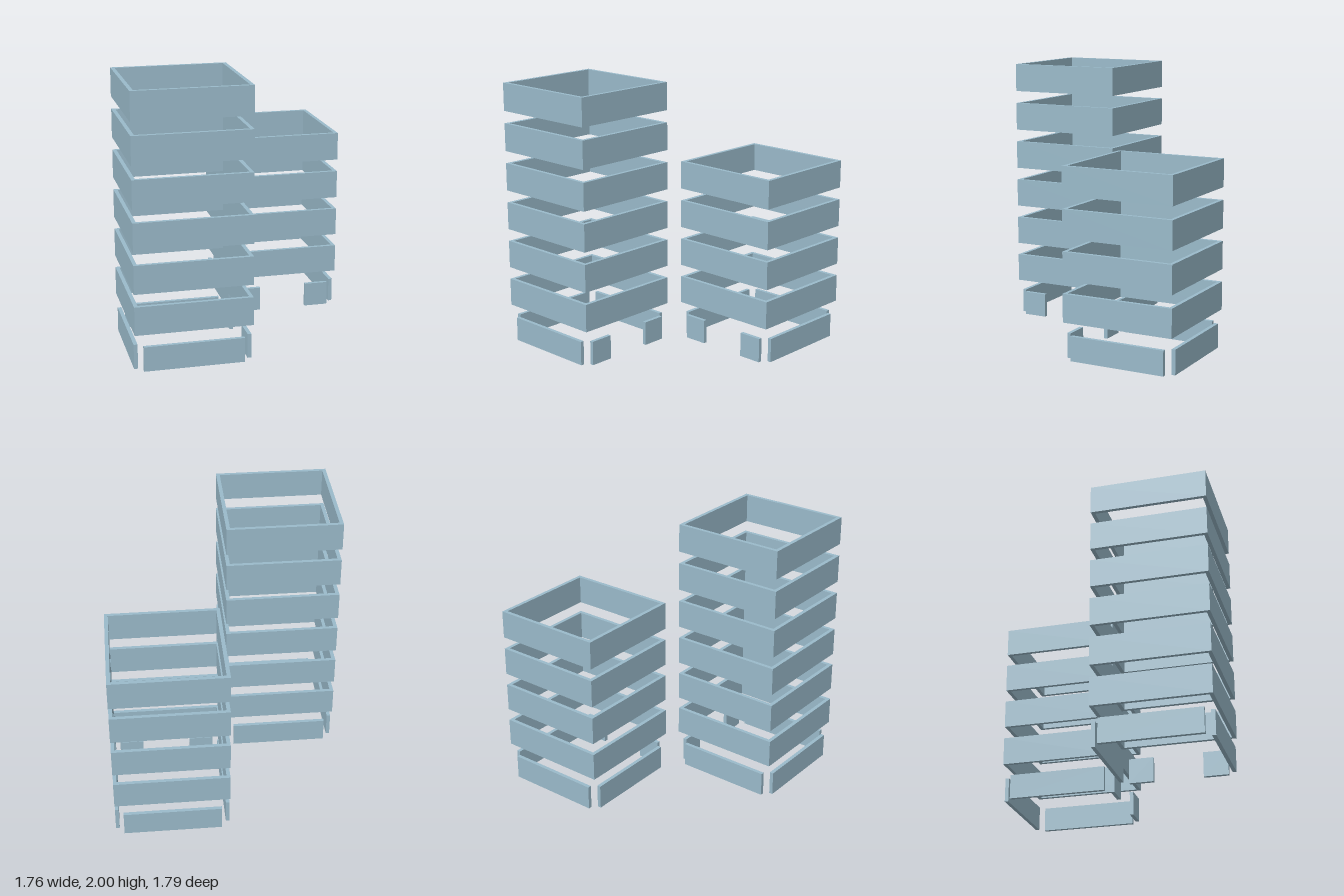
import * as THREE from 'three';

const SIZE = 0.85;      // outer width of a tower
const WALL = 0.028;     // wall thickness
const BAND_H = 0.21;    // height of a floor band
const STEP = 0.303;     // floor to floor
const FIRST = 0.275;    // underside of the lowest band
const BASE_H = 0.183;   // ground floor panel height
const PANEL = 0.726;    // full ground floor panel length
const PIER = 0.18;      // short panel beside an entrance

const blue = new THREE.MeshStandardMaterial({ color: 0x9abaca });
blue.name = 'paleBlue';

// Square ring, its underside at y = 0
function bandGeometry() {
  const h = SIZE / 2, i = h - WALL;
  const shape = new THREE.Shape([[-h, -h], [h, -h], [h, h], [-h, h]].map(p => new THREE.Vector2(...p)));
  shape.holes.push(new THREE.Path([[-i, -i], [-i, i], [i, i], [i, -i]].map(p => new THREE.Vector2(...p))));
  return new THREE.ExtrudeGeometry(shape, { depth: BAND_H, bevelEnabled: false }).rotateX(-Math.PI / 2);
}

// One ground floor side, built facing +z: a full panel, or two piers with an entrance between
function baseSide(open) {
  const side = new THREE.Group();
  side.name = open ? 'entranceSide' : 'solidSide';
  const off = (PANEL - PIER) / 2;
  const parts = open ? [[-off, PIER], [off, PIER]] : [[0, PANEL]];
  for (const [x, width] of parts) {
    const panel = new THREE.Mesh(new THREE.BoxGeometry(width, BASE_H, WALL), blue);
    panel.name = open ? 'entrancePier' : 'groundPanel';
    panel.position.set(x, BASE_H / 2, SIZE / 2 - WALL / 2);
    side.add(panel);
  }
  return side;
}

// Tower with its ground floor and stacked bands; openSide counts quarter turns from +z towards +x
function tower(name, floors, openSide) {
  const group = new THREE.Group();
  group.name = name;
  for (let s = 0; s < 4; s++) {
    const side = baseSide(s === openSide);
    side.rotation.y = s * Math.PI / 2;
    group.add(side);
  }
  const geometry = bandGeometry();
  for (let f = 0; f < floors; f++) {
    const band = new THREE.Mesh(geometry, blue);
    band.name = 'floorBand';
    band.position.y = FIRST + f * STEP;
    group.add(band);
  }
  return group;
}

export function createModel() {
  const model = new THREE.Group();
  model.name = 'twinTowers';
  const tall = tower('tallTower', 6, 1);
  tall.position.set(-0.454, 0, 0.47);
  const low = tower('lowTower', 4, 0);
  low.position.set(0.454, 0, -0.47);
  model.add(tall, low);
  return model;
}
